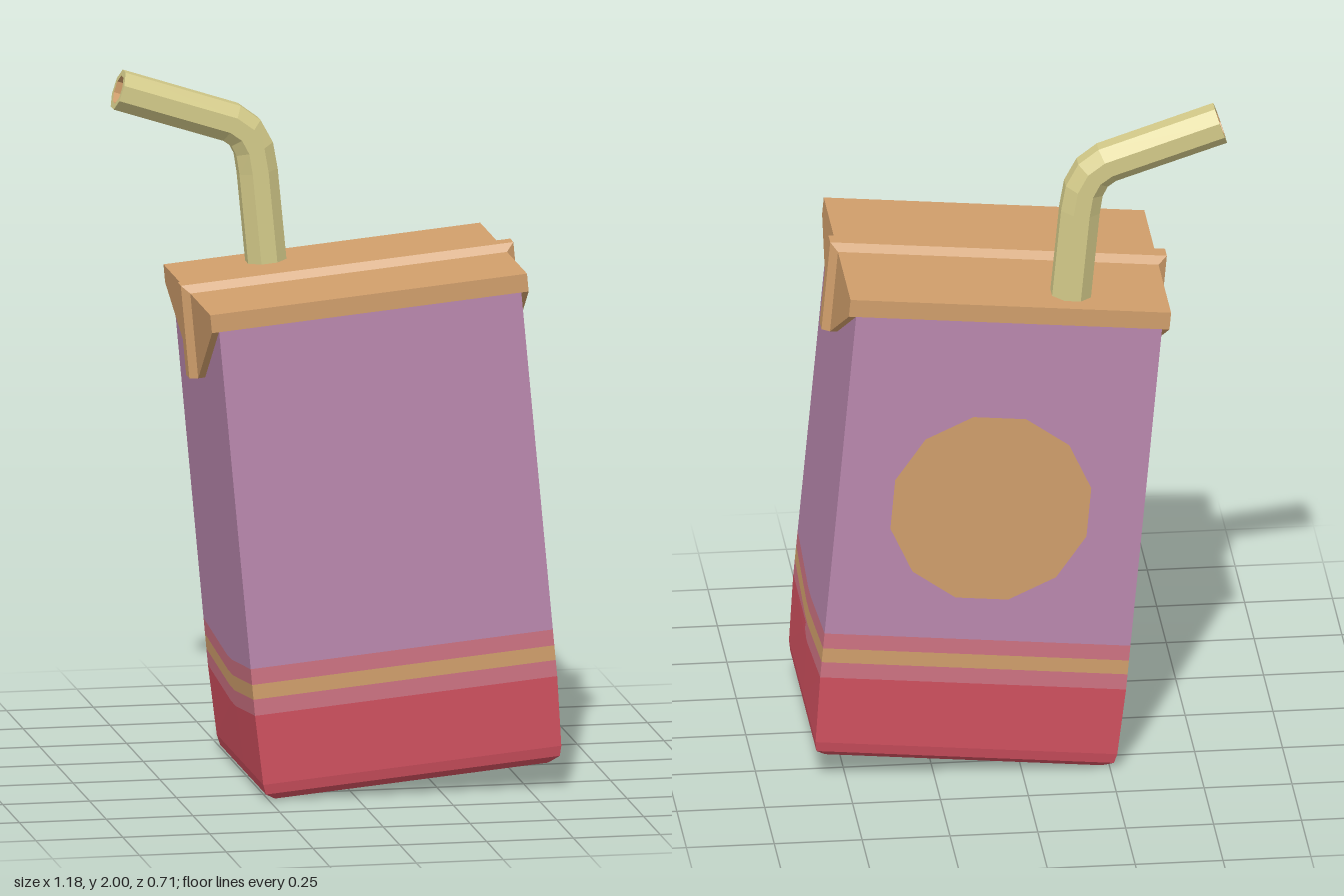
import * as THREE from 'three';

const mat = (name, color) => {
  const m = new THREE.MeshStandardMaterial({ color });
  m.name = name;
  return m;
};

// Skins a list of closed rings with flat faces; optionally caps both ends
function loft(rings, caps = false) {
  const pos = [];
  const tri = (...pts) => pts.forEach((p) => pos.push(...p));
  const n = rings[0].length;
  for (let r = 0; r < rings.length - 1; r++) {
    for (let i = 0; i < n; i++) {
      const j = (i + 1) % n;
      const [a, b, c, d] = [rings[r][i], rings[r][j], rings[r + 1][j], rings[r + 1][i]];
      tri(a, b, c);
      tri(a, c, d);
    }
  }
  if (caps) {
    const first = rings[0], last = rings[rings.length - 1];
    for (let i = 1; i < n - 1; i++) {
      tri(first[0], first[i + 1], first[i]);
      tri(last[0], last[i], last[i + 1]);
    }
  }
  const g = new THREE.BufferGeometry();
  g.setAttribute('position', new THREE.Float32BufferAttribute(pos, 3));
  g.computeVertexNormals();
  return g;
}

export function createModel() {
  const model = new THREE.Group();
  model.name = 'drinkCarton';
  const purple = mat('purple card', 0xb987ad);
  const tan = mat('tan card', 0xd09e6b);
  const red = mat('red base', 0xd0505f);
  const pink = mat('pink stripe', 0xcd7282);
  const straw = mat('straw yellow', 0xd3ca89);

  const add = (parent, name, geometry, material) => {
    const m = new THREE.Mesh(geometry, material);
    m.name = name;
    parent.add(m);
    return m;
  };

  // The carton leans over to its right
  const carton = new THREE.Group();
  carton.name = 'carton';
  carton.position.set(0.165, 0.037, 0);
  carton.rotation.z = 0.092;
  model.add(carton);

  // Box section; the middle of each side dips below the corners
  const FOLD = 0.015, HALF = 0.037;
  const section = ([y, hx, hz, dip]) => {
    const zs = [hz, FOLD + HALF, FOLD - HALF, -hz];
    const side = (s) => zs.map((z, i) => [s * hx, i % 3 ? y - dip : y, z]);
    return [...side(1), ...side(-1).reverse()];
  };
  const band = (name, material, levels, caps) =>
    add(carton, name, loft(levels.map(section), caps), material);

  const s0 = [0.255, 0.437, 0.355, 0.036];
  const s1 = [0.302, 0.437, 0.355, 0.036];
  const s2 = [0.345, 0.437, 0.355, 0.036];
  const s3 = [0.391, 0.437, 0.355, 0.036];
  band('base', red, [[0, 0.395, 0.315, 0], [0.022, 0.425, 0.345, 0], [0.052, 0.431, 0.351, 0], s0], true);
  band('lowerStripe', pink, [s0, s1]);
  band('middleStripe', tan, [s1, s2]);
  band('upperStripe', pink, [s2, s3]);
  band('body', purple, [s3, [1.375, 0.437, 0.352, 0]]);

  // Lid slab
  const LOW = 1.373, TOP = 1.425, TIP = 1.178, X = 0.458, T = 0.02, Z = 0.353;
  const lid = add(carton, 'lid', new THREE.BoxGeometry(2 * (X - T), TOP - LOW, 2 * Z), tan);
  lid.position.y = (LOW + TOP) / 2;

  // Folded side flaps
  const flapShape = new THREE.Shape([
    [Z, TOP], [-Z, TOP], [-Z, LOW], [FOLD - HALF, TIP], [FOLD + HALF, TIP], [Z, LOW],
  ].map((p) => new THREE.Vector2(...p)));
  const flapGeo = new THREE.ExtrudeGeometry(flapShape, { depth: T, bevelEnabled: false });
  flapGeo.rotateY(-Math.PI / 2);
  add(carton, 'leftFlap', flapGeo, tan).position.x = X;
  add(carton, 'rightFlap', flapGeo, tan).position.x = T - X;

  // Sealing ridge over the lid and down both flaps
  const H = 0.023;
  const ridge = [[-1, 0], [-1, 1], [1, 1], [1, 0]].map(([s, up]) => {
    const base = [s * X, up ? TOP : TIP], crest = [s * (X + H), up ? TOP + H : TIP];
    return [
      [...base, FOLD - HALF], [...crest, FOLD - 0.024],
      [...crest, FOLD + 0.024], [...base, FOLD + HALF],
    ];
  });
  add(carton, 'ridge', loft(ridge, true), tan);

  // Round badge on the back
  const badge = add(carton, 'backBadge', new THREE.CircleGeometry(0.29, 12, Math.PI / 12), tan);
  badge.rotation.y = Math.PI;
  badge.position.set(0, 0.8, -0.358);

  // Bent hollow straw
  const path = [
    [-0.145, 1.41], [-0.173, 1.7], [-0.184, 1.765], [-0.209, 1.812], [-0.25, 1.842], [-0.573, 1.948],
  ].map((p) => new THREE.Vector2(...p));
  const tube = (radius) => path.map((p, i) => {
    const dirIn = p.clone().sub(path[Math.max(i - 1, 0)]).normalize();
    const dirOut = path[Math.min(i + 1, path.length - 1)].clone().sub(p).normalize();
    const t = dirIn.add(dirOut).normalize();
    return Array.from({ length: 8 }, (_, k) => {
      const a = ((k + 0.5) * Math.PI) / 4;
      const u = radius * Math.cos(a);
      return [p.x - t.y * u, p.y + t.x * u, -0.245 + radius * Math.sin(a)];
    });
  });
  const outer = tube(0.06), inner = tube(0.042);
  add(model, 'straw', loft([...outer, inner[inner.length - 1]]), straw);
  add(model, 'strawInside', loft(inner.reverse()), tan);

  return model;
}
